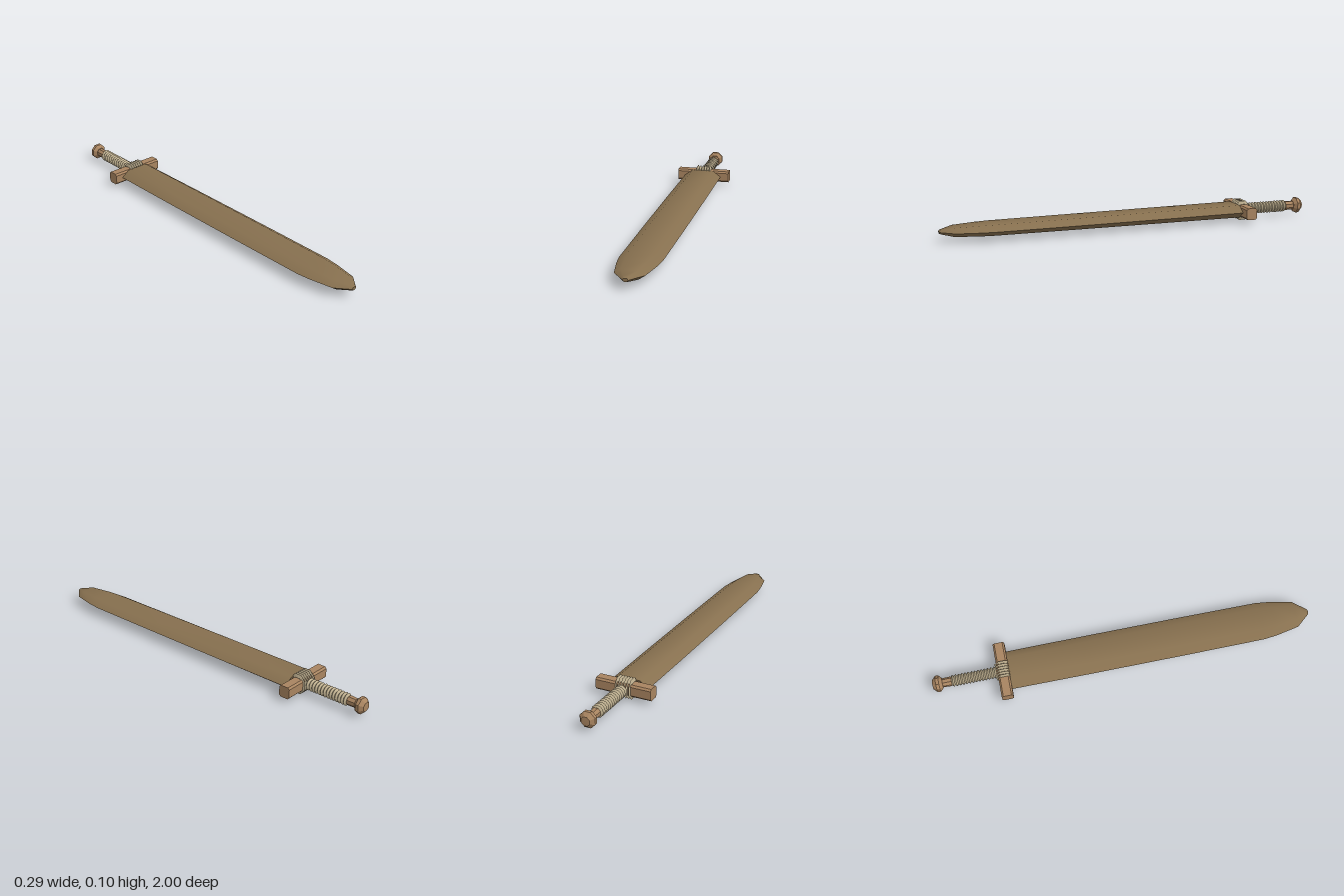
import * as THREE from 'three';
import { toCreasedNormals } from 'three/addons/utils/BufferGeometryUtils.js';

const MID = 0.055; // height of the sword's long axis

const material = (name, color) => {
  const m = new THREE.MeshStandardMaterial({ color });
  m.name = name;
  return m;
};

// Lathe around y from [radius, height] pairs
const lathe = (pairs, sides, phase = 0) =>
  new THREE.LatheGeometry(pairs.map(([r, h]) => new THREE.Vector2(r, h)), sides, phase);

// Hexagonal blade skinned from [z, half width, half thickness, flat share]
function bladeGeometry() {
  const stations = [
    [-0.6, 0.104, 0.033, 0.57], [-0.2, 0.106, 0.031, 0.57], [0.3, 0.106, 0.029, 0.57],
    [0.74, 0.104, 0.027, 0.57], [0.81, 0.096, 0.026, 0.57], [0.93, 0.072, 0.022, 0.55],
    [0.985, 0.026, 0.012, 0.5], [1.0, 0.014, 0.008, 0.5],
  ];
  const pos = [], idx = [];
  for (const [z, w, t, f] of stations) {
    for (const [x, y] of [[1, 0], [f, 1], [-f, 1], [-1, 0], [-f, -1], [f, -1]]) pos.push(x * w, y * t, z);
  }
  for (let s = 0; s < stations.length - 1; s++) {
    for (let i = 0; i < 6; i++) {
      const a = s * 6 + i, b = s * 6 + (i + 1) % 6;
      idx.push(a, b, b + 6, a, b + 6, a + 6);
    }
  }
  const last = (stations.length - 1) * 6;
  for (let i = 1; i < 5; i++) {
    idx.push(0, i + 1, i);
    idx.push(last, last + i, last + i + 1);
  }
  const g = new THREE.BufferGeometry();
  g.setAttribute('position', new THREE.Float32BufferAttribute(pos, 3));
  g.setIndex(idx);
  return toCreasedNormals(g, 0.9);
}

// Bar with chamfered long edges, running along x
function guardGeometry() {
  const w = 0.03, h = 0.031, c = 0.009, len = 0.294;
  const shape = new THREE.Shape([
    [w, -h + c], [w, h - c], [w - c, h], [-w + c, h],
    [-w, h - c], [-w, -h + c], [-w + c, -h], [w - c, -h],
  ].map(([x, y]) => new THREE.Vector2(x, y)));
  return new THREE.ExtrudeGeometry(shape, { depth: len, bevelEnabled: false })
    .translate(0, 0, -len / 2).rotateY(Math.PI / 2);
}

export function createModel() {
  const model = new THREE.Group();
  model.name = 'woodenSword';
  const bladeWood = material('bladeWood', 0x87704f);
  const hiltWood = material('hiltWood', 0xa88460);
  const cord = material('cord', 0xbdae8e);

  const add = (name, geometry, mat, x = 0, z = 0) => {
    const mesh = new THREE.Mesh(geometry, mat);
    mesh.name = name;
    mesh.position.set(x, MID, z);
    model.add(mesh);
    return mesh;
  };

  add('blade', bladeGeometry(), bladeWood, -0.002);
  add('guard', guardGeometry(), hiltWood, 0, -0.63);

  // Handle core and faceted pommel, turned along -z
  const core = lathe([[0.022, 0.64], [0.022, 0.9], [0.025, 0.905], [0.023, 0.955]], 8, Math.PI / 8);
  add('handle', toCreasedNormals(core.rotateX(-Math.PI / 2), 0.3), hiltWood);
  const knob = lathe([[0, 0.945], [0.026, 0.947], [0.043, 0.963], [0.043, 0.979], [0.024, 0.998], [0, 1]], 8, Math.PI / 8);
  add('pommel', toCreasedNormals(knob.rotateX(-Math.PI / 2), 0.3), hiltWood);

  // Cord wound around the grip: a ridged sleeve
  const turns = 14, start = 0.665, pitch = 0.0168;
  const ridges = [[0.022, start]];
  for (let i = 0; i < turns; i++) {
    const h = start + i * pitch;
    ridges.push([0.024, h + 0.001], [0.032, h + pitch / 2]);
  }
  ridges.push([0.022, start + turns * pitch]);
  const sleeve = lathe(ridges, 12).rotateX(-Math.PI / 2);
  add('gripCord', toCreasedNormals(sleeve, 0.6), cord);

  // Six sharp-ridged cord loops around the middle of the guard
  const loop = lathe([[0.62, 0], [0.67, -0.0072], [1, 0], [0.67, 0.0072], [0.62, 0]], 8, Math.PI / 8)
    .scale(0.056, 1, 0.046).rotateZ(-Math.PI / 2);
  const loopGeometry = toCreasedNormals(loop, 0.6);
  for (let i = 0; i < 6; i++) {
    add('guardCord', loopGeometry, cord, (i - 2.5) * 0.0146, -0.627);
  }
  return model;
}
